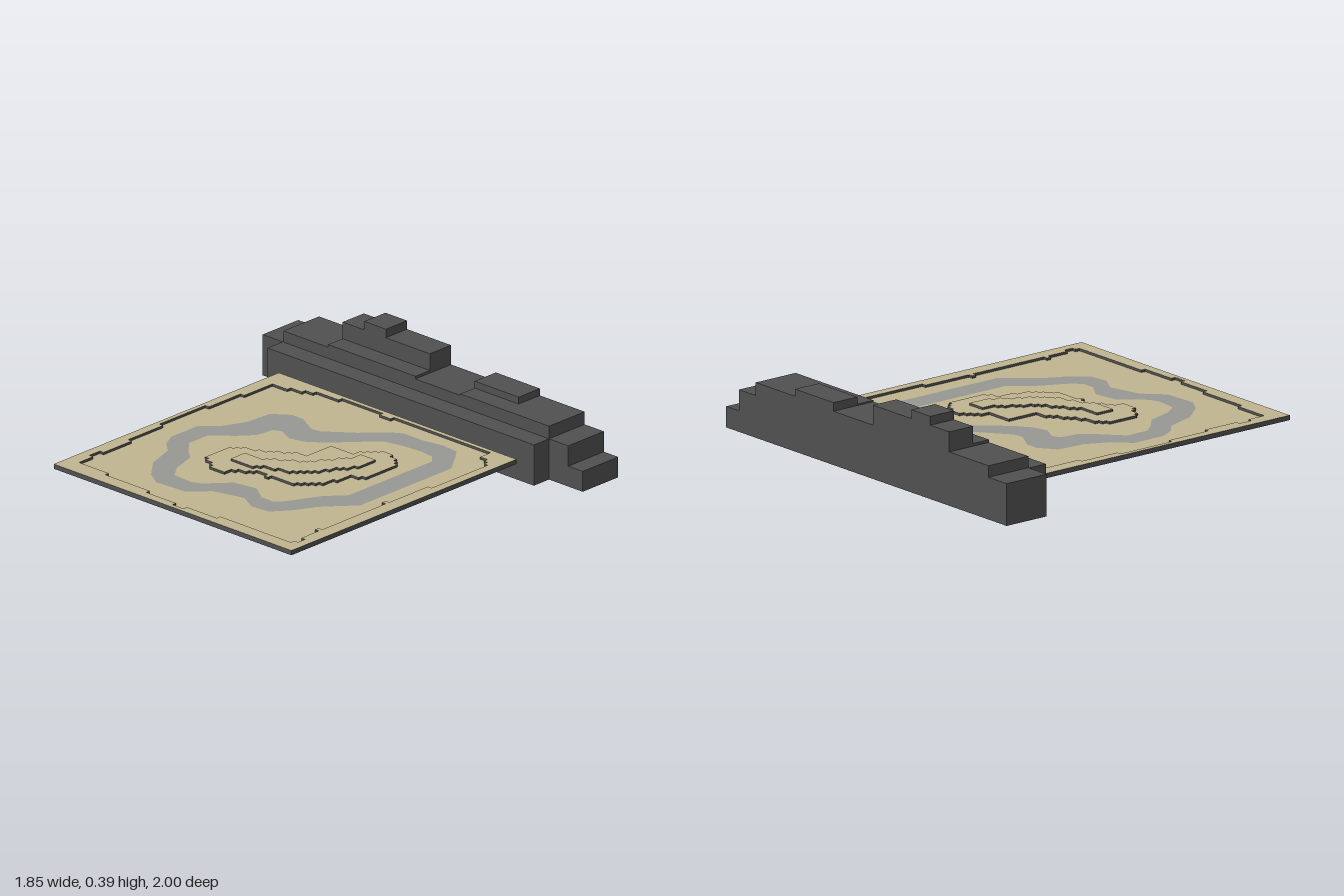
import * as THREE from 'three';

const mat = (name, color, side = THREE.FrontSide) => {
  const m = new THREE.MeshStandardMaterial({ color, side });
  m.name = name;
  return m;
};
const sand = mat('sand', 0xc0b590, THREE.DoubleSide);
const path = mat('path grey', 0x979793, THREE.DoubleSide);
const stone = mat('dark stone', 0x505050);
const ledge = mat('dark ledge', 0x505050, THREE.DoubleSide);

// Terrain levels
const BASE = 0.093, BASIN = 0.104, RIM = 0.116, PEAK = 0.127;

// Ground plan loops as [x, z]
const EDGE = [[-0.925, -0.775], [0.56, -0.775], [0.56, 0.71], [-0.925, 0.71]];
const RIM_LOOP = [
  [-.83, -.71], [-.76, -.71], [-.74, -.73], [-.68, -.73], [-.66, -.71], [-.51, -.71], [-.49, -.73],
  [-.27, -.73], [-.25, -.75], [.03, -.75], [.05, -.73], [.23, -.73], [.25, -.71], [.45, -.71],
  [.45, -.62], [.47, -.54], [.51, -.46], [.51, -.35], [.54, -.33], [.54, -.11], [.51, -.09],
  [.51, -.04], [.54, -.02], [.54, .56], [.50, .58], [.45, .64], [.42, .66], [.07, .66],
  [.05, .64], [-.18, .64], [-.20, .62], [-.22, .64], [-.62, .64], [-.64, .62], [-.67, .64],
  [-.76, .64], [-.78, .66], [-.81, .66], [-.85, .60], [-.85, .20], [-.88, .18], [-.88, .02],
  [-.90, 0], [-.90, -.06], [-.88, -.08], [-.88, -.23], [-.85, -.25], [-.85, -.51], [-.83, -.53]];
const PATH_OUTER = [
  [-.30, -.63], [-.13, -.63], [-.05, -.55], [.06, -.50], [.20, -.49], [.26, -.41], [.26, -.34],
  [.20, -.23], [.21, -.18], [.31, -.05], [.42, .06], [.45, .11], [.45, .23], [.47, .34], [.46, .43],
  [.41, .47], [.30, .55], [-.30, .55], [-.45, .42], [-.55, .37], [-.64, .30], [-.65, .20], [-.60, .11],
  [-.64, -.05], [-.73, -.14], [-.74, -.31], [-.69, -.39], [-.58, -.48], [-.43, -.53], [-.38, -.59]];
const PATH_INNER = [
  [-.30, -.52], [-.18, -.52], [-.09, -.42], [-.02, -.36], [.07, -.35], [.09, -.31], [.05, -.23],
  [.07, -.15], [.13, -.07], [.25, .04], [.32, .11], [.34, .20], [.35, .32], [.34, .39], [.30, .43],
  [-.25, .43], [-.34, .35], [-.50, .27], [-.54, .23], [-.54, .16], [-.48, .07], [-.50, -.05],
  [-.61, -.15], [-.63, -.20], [-.62, -.31], [-.55, -.36], [-.42, -.40], [-.37, -.46]];
const HILL_LOOP = [
  [-.39, -.33], [-.26, -.33], [-.21, -.28], [-.19, -.21], [-.14, -.15], [-.09, -.09], [-.07, 0],
  [.09, 0], [.10, .12], [.17, .18], [.21, .22], [.21, .27], [.19, .31], [.14, .36], [-.04, .36],
  [-.10, .30], [-.18, .26], [-.26, .25], [-.34, .16], [-.35, .04], [-.37, .02], [-.35, -.05],
  [-.39, -.13], [-.46, -.17], [-.46, -.25]];
const PEAK_LOOP = [
  [-.34, -.21], [-.25, -.21], [-.25, -.11], [-.19, -.01], [-.14, .07], [-.05, .13], [.03, .18],
  [.10, .19], [.10, .27], [.01, .27], [-.10, .20], [-.18, .15], [-.26, .08], [-.29, -.05], [-.34, -.10]];

// Snap a loop to the cell grid and turn its slanted runs into stair steps
const CELL = 1.485 / 64;
function staircase(loop) {
  const snapped = loop.map(([x, z]) => [Math.round((x + 0.925) / CELL), Math.round((z + 0.775) / CELL)]);
  const out = [];
  const push = (i, j) => {
    const p = [i * CELL - 0.925, j * CELL - 0.775], last = out[out.length - 1];
    if (!last || Math.hypot(p[0] - last[0], p[1] - last[1]) > 1e-6) out.push(p);
  };
  snapped.forEach(([ax, az], k) => {
    const [bx, bz] = snapped[(k + 1) % snapped.length];
    const n = Math.max(1, Math.min(Math.abs(bx - ax), Math.abs(bz - az)));
    push(ax, az);
    let pz = az;
    for (let s = 1; s <= n; s++) {
      const x = Math.round(ax + (bx - ax) * s / n), z = Math.round(az + (bz - az) * s / n);
      push(x, pz);
      if (s < n || k < snapped.length - 1) push(x, z);
      pz = z;
    }
  });
  return out;
}

const toPoints = loop => loop.map(([x, z]) => new THREE.Vector2(x, -z));

// Flat sheet at height y, bounded by outer and pierced by hole
function sheet(name, outer, hole, y, material) {
  const shape = new THREE.Shape(toPoints(outer));
  if (hole) shape.holes.push(new THREE.Path(toPoints(hole)));
  const mesh = new THREE.Mesh(new THREE.ShapeGeometry(shape).rotateX(-Math.PI / 2), material);
  mesh.position.y = y;
  mesh.name = name;
  return mesh;
}

// Vertical band following a loop between two heights
function band(name, loop, y0, y1) {
  const pos = [];
  loop.forEach(([ax, az], i) => {
    const [bx, bz] = loop[(i + 1) % loop.length];
    pos.push(ax, y0, az, ax, y1, az, bx, y1, bz, ax, y0, az, bx, y1, bz, bx, y0, bz);
  });
  const geo = new THREE.BufferGeometry();
  geo.setAttribute('position', new THREE.Float32BufferAttribute(pos, 3));
  geo.computeVertexNormals();
  const mesh = new THREE.Mesh(geo, ledge);
  mesh.name = name;
  return mesh;
}

function block(name, x0, x1, z0, z1, y0, y1) {
  const mesh = new THREE.Mesh(new THREE.BoxGeometry(x1 - x0, y1 - y0, z1 - z0), stone);
  mesh.position.set((x0 + x1) / 2, (y0 + y1) / 2, (z0 + z1) / 2);
  mesh.name = name;
  return mesh;
}

export function createModel() {
  const model = new THREE.Group();
  model.name = 'trackAndGrandstand';

  // Terrain: raised rim, sunken basin with a painted path, two-step hill
  const terrain = new THREE.Group();
  terrain.name = 'terrain';
  const rim = staircase(RIM_LOOP), hill = staircase(HILL_LOOP), peak = staircase(PEAK_LOOP);
  terrain.add(
    sheet('rimTop', EDGE, rim, RIM, sand),
    sheet('outerBasin', rim, PATH_OUTER, BASIN, sand),
    sheet('path', PATH_OUTER, PATH_INNER, BASIN, path),
    sheet('innerBasin', PATH_INNER, hill, BASIN, sand),
    sheet('hillTop', hill, peak, RIM, sand),
    sheet('peakTop', peak, null, PEAK, sand),
    band('outerSkirt', EDGE, BASE, RIM),
    band('rimStep', rim, BASIN, RIM),
    band('hillStep', hill, BASIN, RIM),
    band('peakStep', peak, RIM, PEAK));
  model.add(terrain);

  // Stepped stone building along the left side
  const building = new THREE.Group();
  building.name = 'building';
  const X0 = 0.59, X1 = 0.69, X2 = 0.785, X3 = 0.925;
  building.add(block('frontTerrace', X0, X1, -0.875, 0.79, 0, 0.2));
  // Main body sections: z from, z to, height
  [[-1, -0.87, 0.2], [-0.87, -0.59, 0.255], [-0.59, -0.045, 0.268], [-0.045, 0.235, 0.255],
    [0.235, 0.79, 0.262], [0.79, 0.91, 0.2], [0.91, 1, 0.1]]
    .forEach(([a, b, h]) => building.add(block('bodySection', X1, X3, a, b, 0, h)));
  // Upper storeys set back from the terrace
  building.add(
    block('highStorey', X2, X3, -0.59, -0.045, 0.268, 0.35),
    block('roofTower', X2, X3, -0.455, -0.32, 0.35, 0.392),
    block('lowStorey', X2, X3, 0.235, 0.51, 0.262, 0.296));
  model.add(building);

  return model;
}
